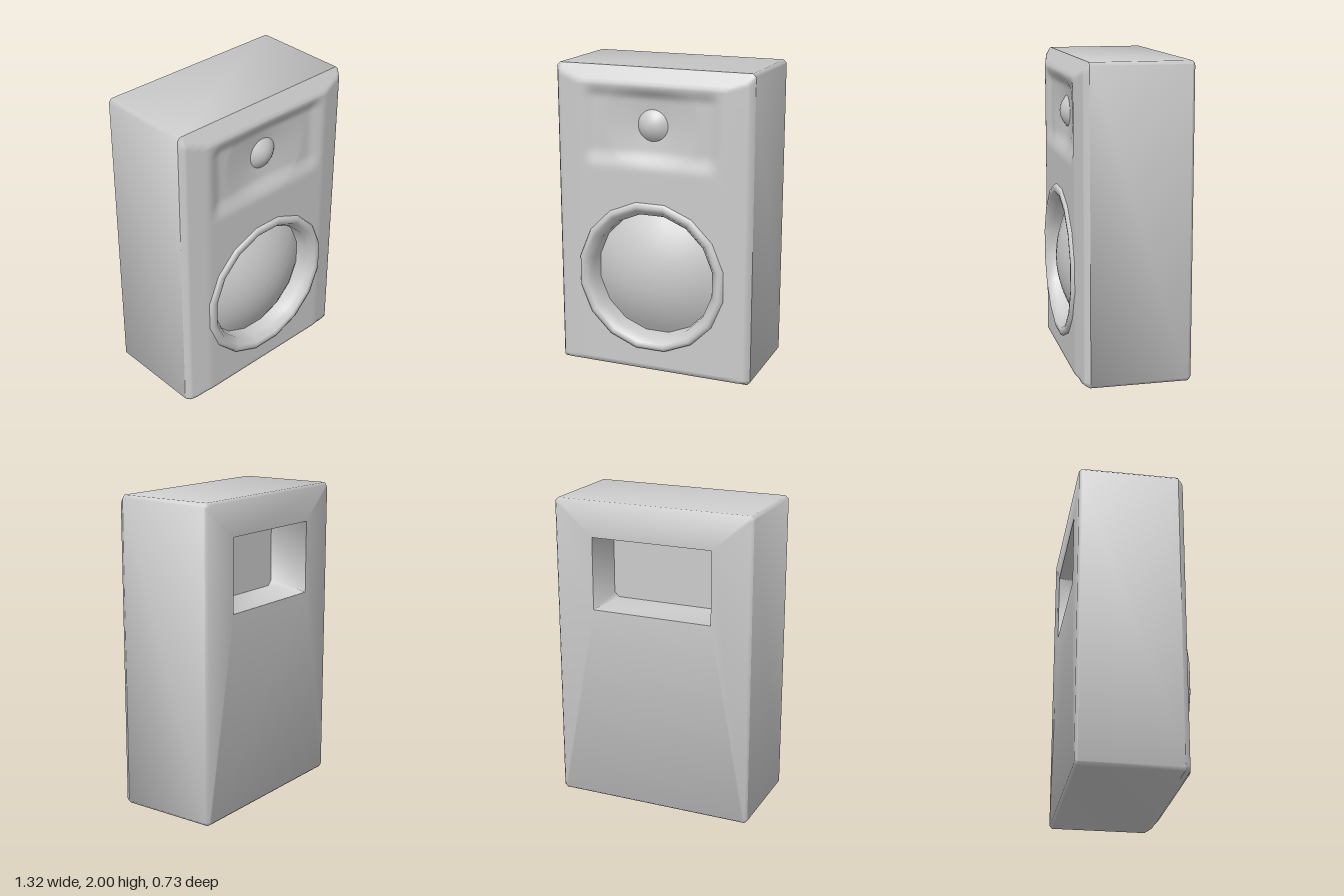
import * as THREE from 'three';
import { toCreasedNormals } from 'three/addons/utils/BufferGeometryUtils.js';

const material = new THREE.MeshStandardMaterial({ color: 0xcccccc });
const WOOFER_Y = 0.66, TWEETER_Y = 1.64;
const { smoothstep, clamp } = THREE.MathUtils;

// Rectangle with cut corners, counter-clockwise from +z: half width, bottom, top, cut, depth
function loop(w, y0, y1, c, z) {
  return [[w, y0 + c], [w, y1 - c], [w - c, y1], [c - w, y1],
    [-w, y1 - c], [-w, y0 + c], [c - w, y0], [w - c, y0]].map(([x, y]) => [x, y, z]);
}

// Skin a series of loops running from front to back
function loft(loops) {
  const n = loops[0].length, index = [];
  for (let k = 0; k < loops.length - 1; k++) {
    for (let i = 0; i < n; i++) {
      const a = k * n + i, a2 = k * n + (i + 1) % n;
      index.push(a, a + n, a2, a2, a + n, a2 + n);
    }
  }
  const geometry = new THREE.BufferGeometry();
  geometry.setAttribute('position', new THREE.Float32BufferAttribute(loops.flat(2), 3));
  geometry.setIndex(index);
  return geometry;
}

// Turned part facing +z; profile points are [radius, z]
function turned(profile, sides) {
  const points = profile.map(([r, z]) => new THREE.Vector2(r, z));
  return new THREE.LatheGeometry(points, sides, Math.PI / sides).rotateX(Math.PI / 2);
}

// Profile of a shallow dome from its rim to its apex
function domeProfile(radius, zRim, zApex, steps = 10) {
  return Array.from({ length: steps + 1 }, (_, i) => {
    const r = radius * (1 - i / steps);
    return [r, zApex - (zApex - zRim) * (r / radius) ** 2];
  });
}

// Linear interpolation through [position, value] pairs
function ramp(t, pairs) {
  for (let i = 1; i < pairs.length; i++) {
    const [t0, v0] = pairs[i - 1], [t1, v1] = pairs[i];
    if (t <= t1) return v0 + (v1 - v0) * clamp((t - t0) / (t1 - t0), 0, 1);
  }
  return pairs[pairs.length - 1][1];
}

// Depth of the baffle: sloping sides and top, with the waveguide pressed in
function baffleZ(x, y) {
  const ax = Math.abs(x);
  const side = ramp(ax, [[0.49, 0.345], [0.64, 0.312], [0.66, 0.28]]);
  const ends = ramp(y, [[0, 0.28], [0.03, 0.345], [1.9, 0.345], [2, 0.28]]);
  const mask = (1 - smoothstep(ax, 0.37, 0.48)) * (1 - smoothstep(y, 1.8, 1.89))
    * smoothstep(y, 1.35, 1.48);
  const cone = Math.max(0, 1 - Math.hypot(x, y - TWEETER_Y) / 0.32);
  return Math.min(side, ends) - mask * (0.028 + 0.04 * cone);
}

function baffleGeometry() {
  const geometry = new THREE.PlaneGeometry(1.32, 2, 66, 100).translate(0, 1, 0);
  const p = geometry.attributes.position;
  for (let i = 0; i < p.count; i++) {
    const x = p.getX(i), y = p.getY(i);
    const cut = Math.max(0, Math.abs(x) + Math.abs(y - 1) - 1.64) / 2;
    p.setXYZ(i, x - Math.sign(x) * cut, y - Math.sign(y - 1) * cut, baffleZ(x, y));
  }
  geometry.computeVertexNormals();
  // Sink the area behind the woofer
  for (let i = 0; i < p.count; i++) {
    if (Math.hypot(p.getX(i), p.getY(i) - WOOFER_Y) < 0.465) p.setZ(i, 0.15);
  }
  return geometry;
}

export function createModel() {
  const group = new THREE.Group();
  const add = (name, geometry, y = 0) => {
    const mesh = new THREE.Mesh(geometry, material);
    mesh.name = name;
    mesh.position.y = y;
    group.add(mesh);
  };

  // Cabinet shell with bevelled back edges and the pocket in the back
  add('cabinet', toCreasedNormals(loft([
    loop(0.66, 0, 2, 0.02, 0.28),
    loop(0.66, 0, 2, 0.02, -0.345),
    loop(0.645, 0.015, 1.985, 0.015, -0.362),
    loop(0.4, 1.3, 1.77, 0.002, -0.362),
    loop(0.38, 1.32, 1.75, 0.03, -0.1),
    loop(0, 1.535, 1.535, 0, -0.1),
  ]), 0.9));

  add('frontBaffle', baffleGeometry());

  // Woofer: faceted surround and domed cone
  add('wooferRing', turned([[0.505, 0.335], [0.495, 0.36], [0.475, 0.365],
    [0.45, 0.362], [0.415, 0.315], [0.41, 0.22]], 16), WOOFER_Y);
  add('wooferDome', turned(domeProfile(0.412, 0.23, 0.36), 16), WOOFER_Y);

  // Tweeter dome sitting in the waveguide
  add('tweeterDome', turned(domeProfile(0.125, 0.265, 0.335), 24), TWEETER_Y);

  return group;
}
